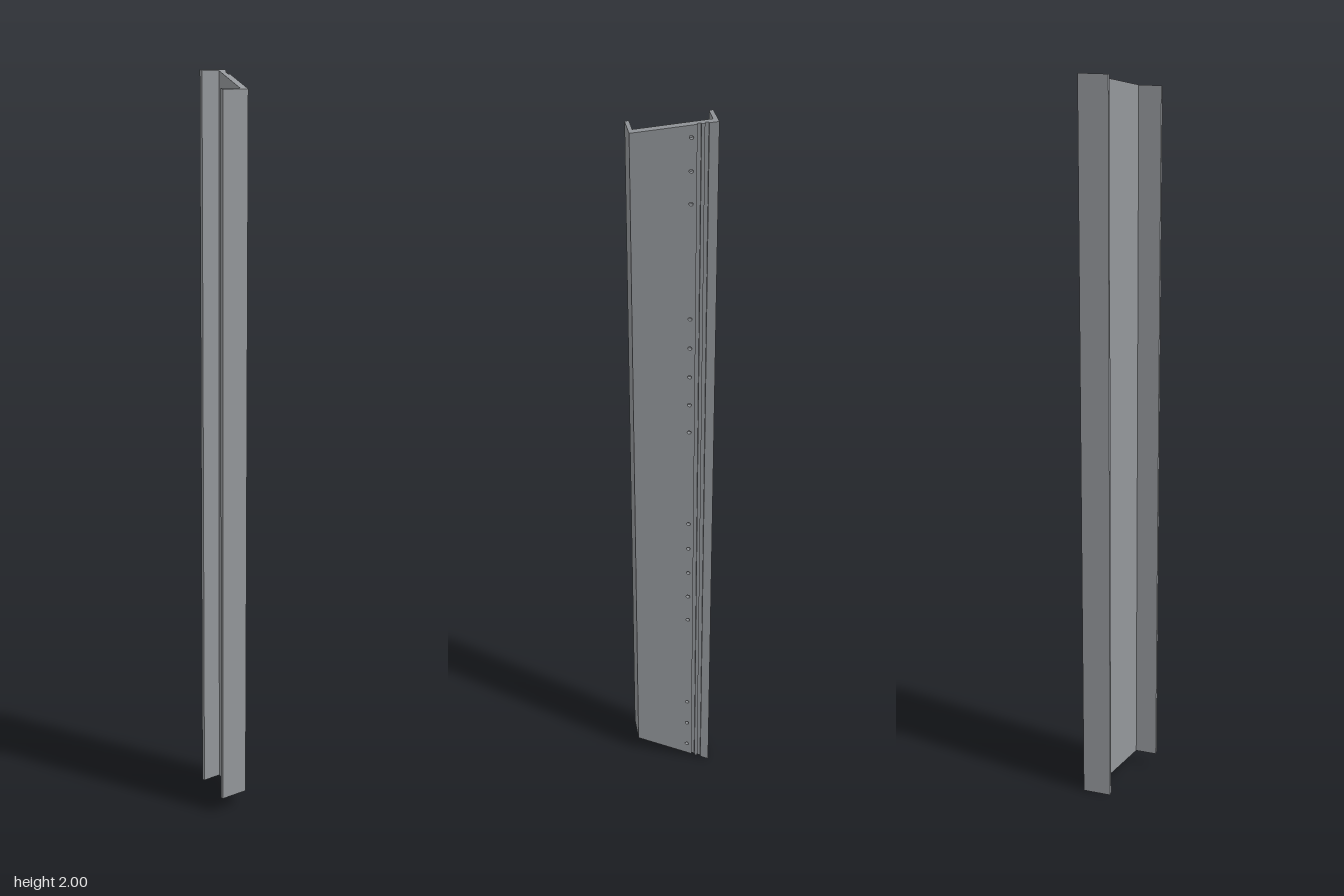
import * as THREE from 'three';

// Outer face of the slanted web: x as a function of z
const outerX = (z) => 0.0005 + (0.1 - z) * 0.38;
// Mitred ends: height of the top and bottom cuts at a given z
const cut = (z) => (z + 0.1) * 0.225;

const WEB = 0.022;    // web thickness along x
const POCKET = 0.012; // depth of the blind holes

// Bar with the given (x, z) section, both ends cut at the mitre
function profileBar(points, material, name) {
  const shape = new THREE.Shape(points.map(([x, z]) => new THREE.Vector2(x, -z)));
  const geo = new THREE.ExtrudeGeometry(shape, { depth: 1, bevelEnabled: false });
  geo.rotateX(-Math.PI / 2);
  const p = geo.attributes.position;
  for (let i = 0; i < p.count; i++) {
    const c = cut(p.getZ(i));
    p.setY(i, p.getY(i) > 0.5 ? 2 - c : c);
  }
  geo.computeVertexNormals();
  const mesh = new THREE.Mesh(geo, material);
  mesh.name = name;
  return mesh;
}

// Outer skin of the web, pierced by the row of small holes
function drilledSkin(zBack, zFront, material) {
  const shape = new THREE.Shape([
    [-zFront, cut(zFront)], [-zBack, cut(zBack)],
    [-zBack, 2 - cut(zBack)], [-zFront, 2 - cut(zFront)],
  ].map(([u, v]) => new THREE.Vector2(u, v)));

  // Groups of evenly spaced holes: first height and count
  for (const [start, count] of [[0.05, 3], [0.525, 5], [1.15, 5], [1.79, 3]]) {
    for (let i = 0; i < count; i++) {
      const hole = new THREE.Path();
      hole.absarc(0.039, start + i * 0.083, 0.005, 0, Math.PI * 2, true);
      shape.holes.push(hole);
    }
  }
  const geo = new THREE.ExtrudeGeometry(shape, { depth: POCKET, bevelEnabled: false, curveSegments: 8 });
  geo.rotateY(Math.PI / 2);
  // Lean the skin along the slanted web
  const p = geo.attributes.position;
  for (let i = 0; i < p.count; i++) {
    p.setX(i, p.getX(i) + outerX(p.getZ(i)) - POCKET);
  }
  geo.computeVertexNormals();
  const mesh = new THREE.Mesh(geo, material);
  mesh.name = 'drilledWebSkin';
  return mesh;
}

export function createModel() {
  const group = new THREE.Group();
  group.name = 'slantedChannelPost';
  const metal = new THREE.MeshStandardMaterial({ color: 0x94979b });
  metal.name = 'greyMetal';

  const zJoin = -0.052;
  const inner = (z) => [outerX(z) - WEB, z];
  const mid = (z) => [outerX(z) - POCKET, z];
  const outer = (z, d = 0) => [outerX(z) - d, z];

  // Back flange with the grooved corner of the web
  group.add(profileBar([
    [-0.003, -0.1], [-0.003, -0.09], inner(-0.09), inner(zJoin),
    outer(zJoin, 0.006), outer(-0.061, 0.006), outer(-0.061), outer(-0.069),
    outer(-0.069, 0.006), outer(-0.078, 0.006), outer(-0.078), outer(-0.1),
  ], metal, 'groovedBackFlange'));

  // Solid inner layer of the web, the floor of the blind holes
  group.add(profileBar([inner(zJoin), inner(0.1), mid(0.1), mid(zJoin)], metal, 'innerWeb'));
  group.add(drilledSkin(zJoin, 0.1, metal));

  // Front flange, running up to the inner face of the web
  group.add(profileBar([
    [-0.078, 0.09], [-0.078, 0.1], inner(0.1), inner(0.09),
  ], metal, 'frontFlange'));

  return group;
}
